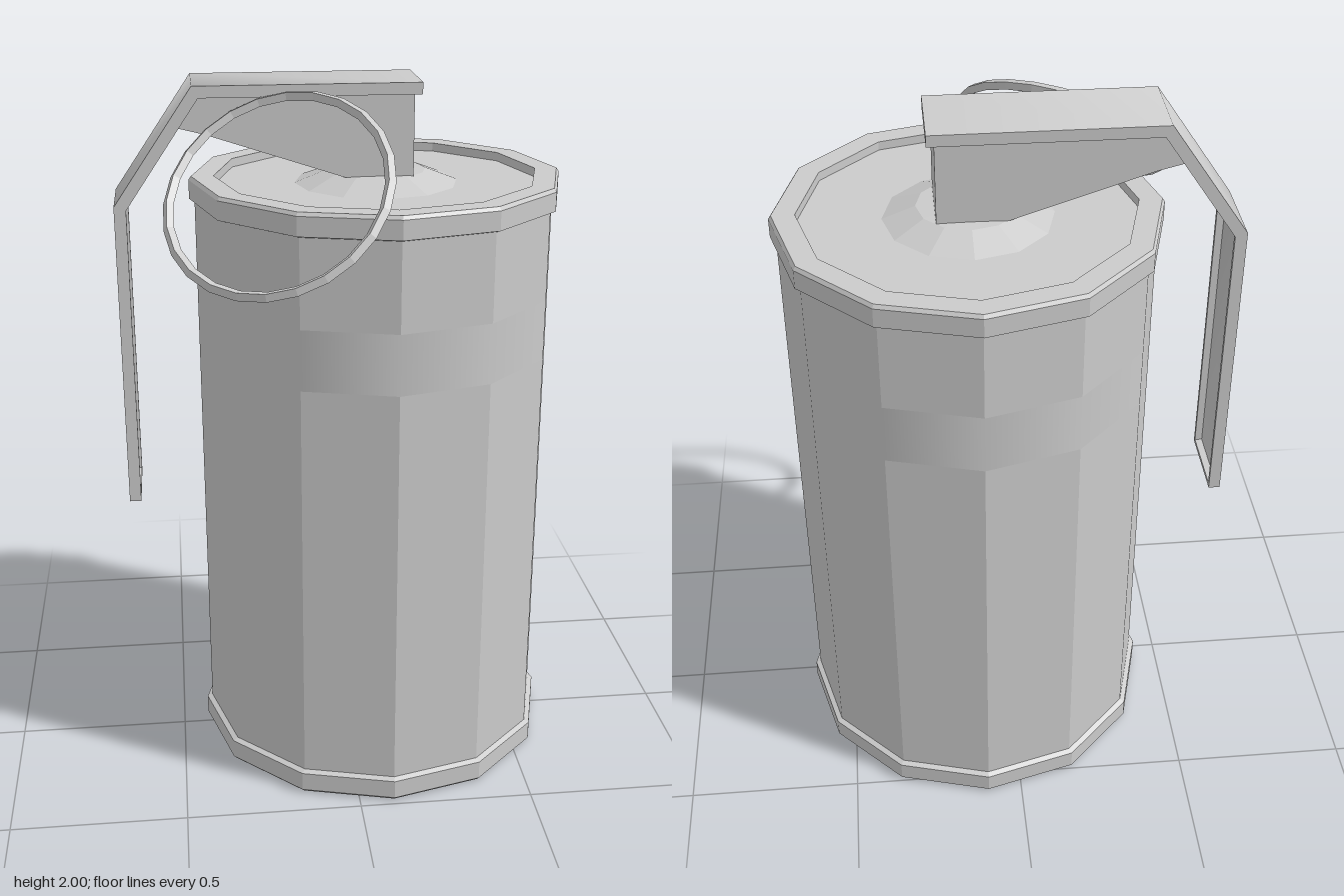
import * as THREE from 'three';
import { toCreasedNormals } from 'three/addons/utils/BufferGeometryUtils.js';

const flat = new THREE.MeshStandardMaterial({ color: 0xcccccc, flatShading: true });
const smooth = new THREE.MeshStandardMaterial({ color: 0xcccccc });
const SIDES = 12;
const CX = 0.1, CZ = -0.04; // canister axis

function add(parent, name, geometry, material = flat) {
  const mesh = new THREE.Mesh(geometry, material);
  mesh.name = name;
  parent.add(mesh);
  return mesh;
}

// Twelve-sided revolved part; points are [radius, y], bottom to top
function turned(points) {
  return new THREE.LatheGeometry(points.map(([r, y]) => new THREE.Vector2(r, y)), SIDES);
}

// Side outline in x, y extruded between two z positions
function slab(points, z0, z1) {
  const shape = new THREE.Shape(points.map(([x, y]) => new THREE.Vector2(x, y)));
  const g = new THREE.ExtrudeGeometry(shape, { depth: z1 - z0, bevelEnabled: false });
  return g.translate(0, 0, z0);
}

export function createModel() {
  const model = new THREE.Group();
  model.name = 'canister';

  // Canister: walls, softly shaded band, rolled rims and recessed ends
  const body = new THREE.Group();
  body.name = 'body';
  body.position.set(CX, 0, CZ);
  model.add(body);
  add(body, 'lowerWall', turned([[0.51, 0.07], [0.51, 1.25]]));
  add(body, 'band', turned([[0.51, 1.25], [0.51, 1.42]]), smooth);
  add(body, 'upperWall', turned([[0.51, 1.42], [0.51, 1.67]]));
  add(body, 'bottomRim', turned([
    [0, 0.025], [0.46, 0.025], [0.46, 0.003], [0.515, 0], [0.525, 0.01], [0.525, 0.065], [0.51, 0.072],
  ]));
  add(body, 'topRim', turned([
    [0.51, 1.667], [0.525, 1.672], [0.525, 1.725], [0.518, 1.735], [0.455, 1.735], [0.455, 1.71],
  ]));
  add(body, 'lid', turned([
    [0.455, 1.71], [0.23, 1.71], [0.14, 1.745], [0, 1.75],
  ]));

  // Fuse block with a wedge running out under the lever
  add(model, 'fuseBlock', slab([
    [0.19, 1.74], [0.19, 1.985], [-0.4, 1.985], [-0.46, 1.89], [-0.38, 1.87], [0, 1.745],
  ], -0.14, 0.068));

  // Lever: bent channel with an outer plate, side flanges and end lips
  const lever = new THREE.Group();
  lever.name = 'lever';
  model.add(lever);
  const outer = [[0.21, 2], [-0.41, 2], [-0.63, 1.68], [-0.63, 0.81]];
  const middle = [[0.21, 1.988], [-0.404, 1.988], [-0.618, 1.676], [-0.618, 0.81]];
  const inner = [[0.21, 1.968], [-0.393, 1.968], [-0.597, 1.67], [-0.597, 0.81]];
  const between = (a, b) => [...a, ...[...b].reverse()];
  const z0 = -0.15, z1 = 0.08, t = 0.012;
  add(lever, 'leverPlate', toCreasedNormals(slab(between(outer, middle), z0, z1), 1), smooth);
  for (const z of [z0, z1 - t]) {
    add(lever, 'leverFlange', slab(between(middle, inner), z, z + t));
  }
  add(lever, 'leverTopLip', new THREE.BoxGeometry(t, 0.02, z1 - z0 - 2 * t))
    .position.set(0.21 - t / 2, 1.978, (z0 + z1) / 2);
  add(lever, 'leverBottomLip', new THREE.BoxGeometry(0.021, t, z1 - z0 - 2 * t))
    .position.set(-0.6075, 0.81 + t / 2, (z0 + z1) / 2);

  // Pull ring, tilted beside the lever
  const ring = add(model, 'pullRing', new THREE.TorusGeometry(0.3, 0.015, 4, 24));
  ring.position.set(-0.203, 1.763, 0.322);
  ring.quaternion.setFromUnitVectors(
    new THREE.Vector3(0, 0, 1),
    new THREE.Vector3(-0.345, 0.69, 0.636).normalize(),
  );

  return model;
}
